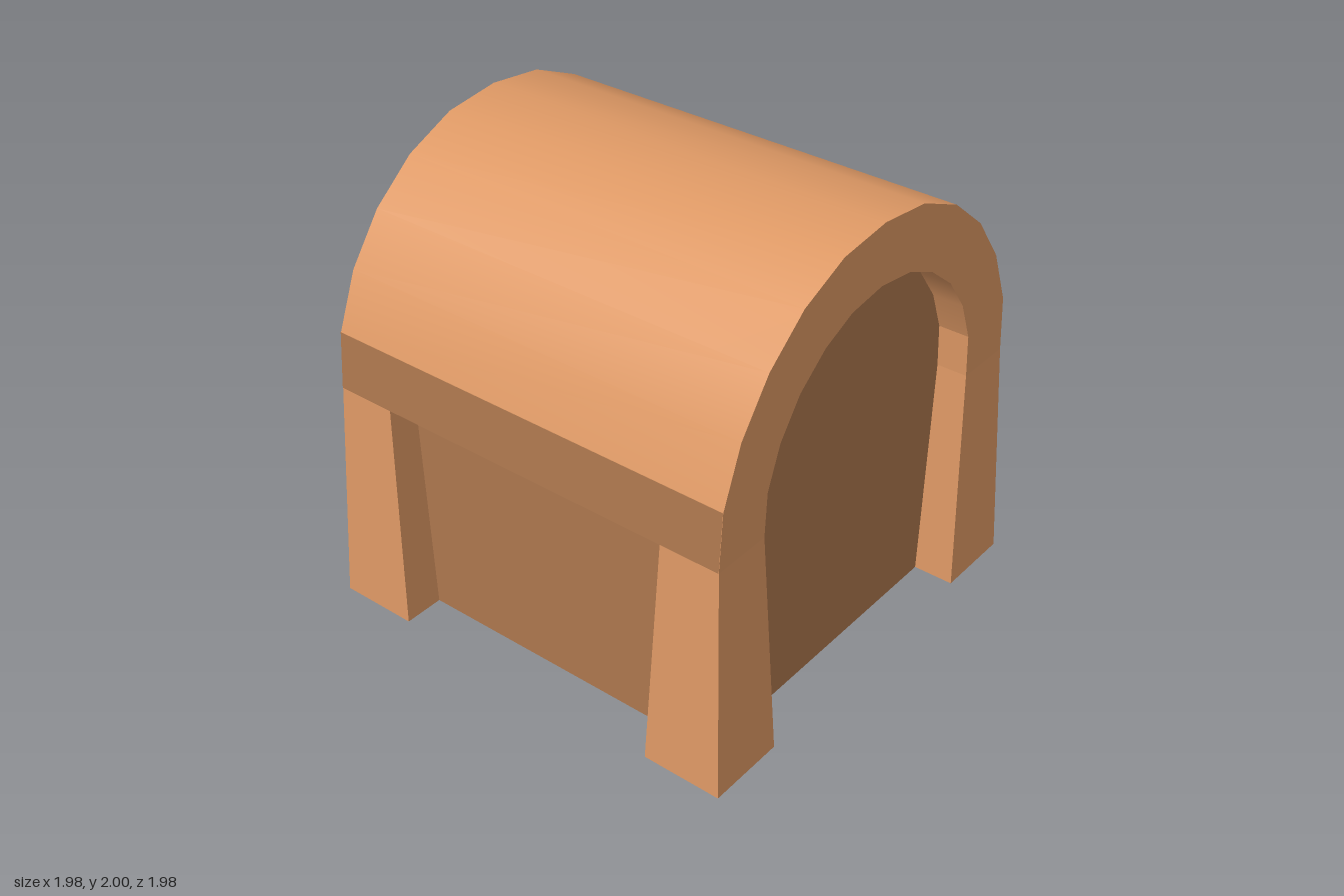
import * as THREE from 'three';
import { toCreasedNormals } from 'three/addons/utils/BufferGeometryUtils.js';

const clay = new THREE.MeshStandardMaterial({ color: 0xdd9864 });
const darkClay = new THREE.MeshStandardMaterial({ color: 0xad774e });
const glass = new THREE.MeshStandardMaterial({ color: 0xadb2d0 });

const SPRING = 1.015; // height where the vault starts
const ROOF = 0.945;   // half length and half width of the vault
const WALL = 0.81;    // half width of the recessed walls

// Right halves of the arch outlines, from the springing up to the crown
const outerHalf = [[ROOF, SPRING], [0.925, 1.265], [0.83, 1.505], [0.68, 1.71], [0.485, 1.87], [0.255, 1.97], [0, 2]];
const innerHalf = [[0.68, SPRING], [0.668, 1.205], [0.6, 1.38], [0.49, 1.53], [0.345, 1.645], [0.185, 1.715], [0, 1.74]];

const fullArch = (half) => [...half, ...half.slice(0, -1).reverse().map(([x, y]) => [-x, y])];

function extrudeAlongZ(points, halfDepth) {
  const shape = new THREE.Shape(points.map(([x, y]) => new THREE.Vector2(x, y)));
  const geometry = new THREE.ExtrudeGeometry(shape, { depth: halfDepth * 2, bevelEnabled: false });
  geometry.translate(0, 0, -halfDepth);
  return toCreasedNormals(geometry, THREE.MathUtils.degToRad(16.9));
}

// Square pillar that tapers towards the top
function pillarGeometry(sx, sz) {
  const geometry = new THREE.BoxGeometry(2, SPRING, 2);
  geometry.translate(0, SPRING / 2, 0);
  const p = geometry.attributes.position;
  for (let i = 0; i < p.count; i++) {
    const top = p.getY(i) > 0.5;
    const centre = top ? 0.8125 : 0.8135;
    const half = top ? 0.1325 : 0.1765;
    p.setX(i, sx * centre + p.getX(i) * half);
    p.setZ(i, sz * centre + p.getZ(i) * half);
  }
  geometry.computeVertexNormals();
  return geometry;
}

export function createModel() {
  const model = new THREE.Group();
  model.name = 'vaultedHut';
  const add = (name, geometry, material) => {
    const mesh = new THREE.Mesh(geometry, material);
    mesh.name = name;
    model.add(mesh);
    return mesh;
  };

  // Vaulted roof
  add('roof', extrudeAlongZ([...fullArch(outerHalf), ...fullArch(innerHalf).reverse()], ROOF), clay);

  // Recessed walls, and the arched end panels that fill the vault
  const walls = add('walls', new THREE.BoxGeometry(WALL * 2, SPRING, WALL * 2), darkClay);
  walls.position.y = SPRING / 2;
  add('archPanels', extrudeAlongZ(fullArch(innerHalf), WALL), darkClay);

  // Corner pillars
  for (const sx of [-1, 1]) {
    for (const sz of [-1, 1]) add('pillar', pillarGeometry(sx, sz), clay);
  }

  // Dark bands along the lower edges of the roof
  const [[x0, y0], [x1, y1]] = outerHalf;
  for (const s of [-1, 1]) {
    const geometry = new THREE.PlaneGeometry(ROOF * 2, Math.hypot(x1 - x0, y1 - y0));
    geometry.rotateX(-Math.atan((x0 - x1) / (y1 - y0)));
    geometry.rotateY(s * Math.PI / 2);
    const band = add('roofBand', geometry, darkClay);
    band.position.set(s * ((x0 + x1) / 2 + 0.002), (y0 + y1) / 2, 0);
  }

  // Window block on the left wall only
  const win = add('window', new THREE.BoxGeometry(0.135, 0.345, 0.44), glass);
  win.position.set(0.8675, 0.8425, 0);

  return model;
}
